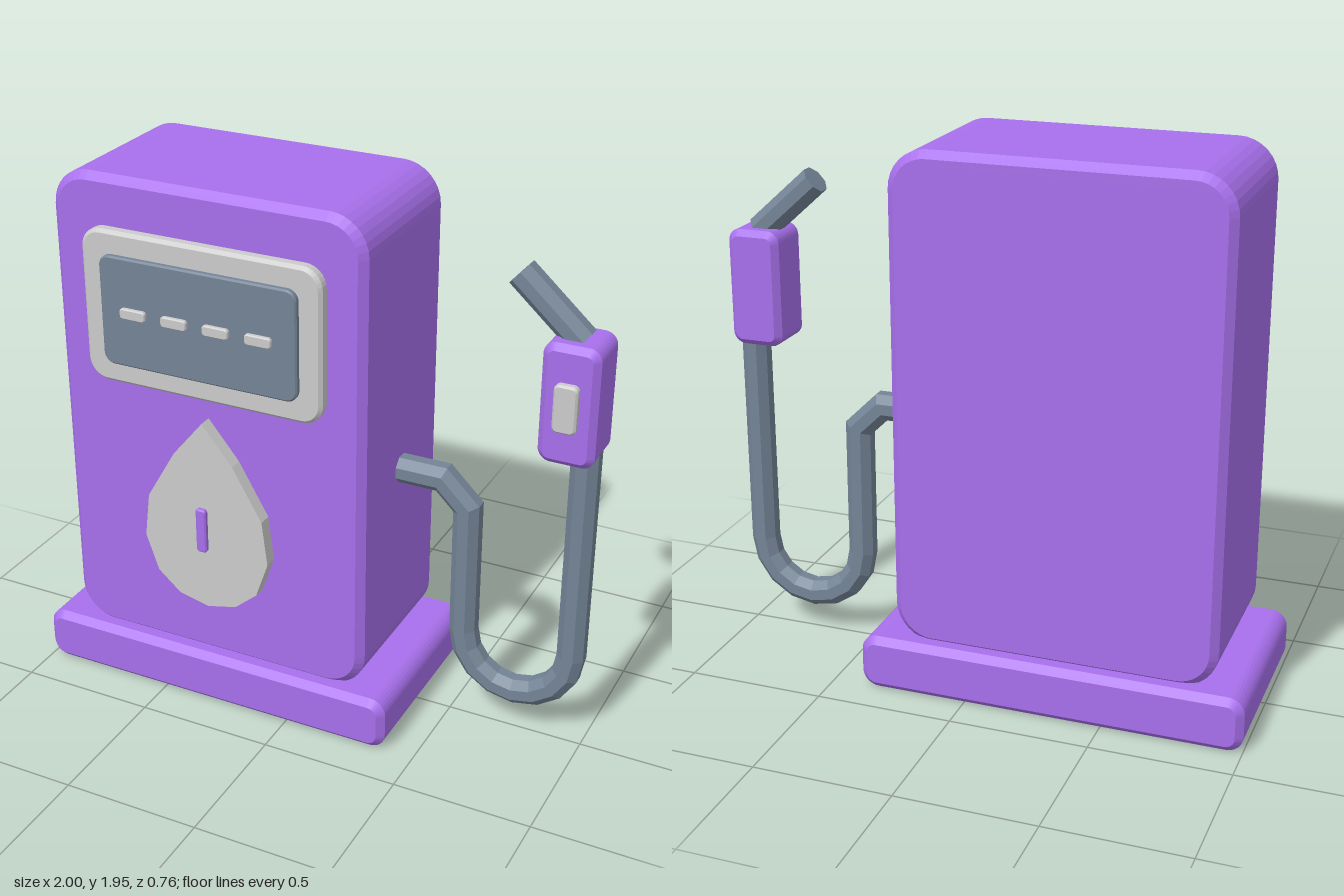
import * as THREE from 'three';

const material = (color) => new THREE.MeshStandardMaterial({ color, flatShading: true });

// Rounded rectangle slab with chamfered front and back edges
function slab(name, [x0, x1], [y0, y1], [z0, z1], radius, bevel, mat) {
  const l = x0 + bevel, r = x1 - bevel, b = y0 + bevel, t = y1 - bevel;
  const c = Math.max(radius - bevel, 0.002);
  const s = new THREE.Shape();
  s.absarc(r - c, b + c, c, -Math.PI / 2, 0);
  s.absarc(r - c, t - c, c, 0, Math.PI / 2);
  s.absarc(l + c, t - c, c, Math.PI / 2, Math.PI);
  s.absarc(l + c, b + c, c, Math.PI, Math.PI * 1.5);
  s.closePath();
  const geo = new THREE.ExtrudeGeometry(s, {
    depth: z1 - z0 - 2 * bevel, curveSegments: 4,
    bevelEnabled: bevel > 0, bevelSize: bevel, bevelThickness: bevel, bevelSegments: 1,
  });
  geo.translate(0, 0, z0 + bevel);
  const mesh = new THREE.Mesh(geo, mat);
  mesh.name = name;
  return mesh;
}

// Eight-sided pipe with mitred joints along a path in the xy plane
function pipe(name, path, radius, z, mat) {
  const sides = 8, pos = [], index = [];
  const pts = path.map(([x, y]) => new THREE.Vector2(x, y));
  pts.forEach((p, i) => {
    const before = p.clone().sub(pts[Math.max(i - 1, 0)]).normalize();
    const after = pts[Math.min(i + 1, pts.length - 1)].clone().sub(p).normalize();
    const dir = before.clone().add(after).normalize();
    const stretch = 1 / Math.max(dir.dot(i ? before : after), 0.5);
    for (let k = 0; k < sides; k++) {
      const a = ((k + 0.5) / sides) * Math.PI * 2;
      const off = Math.cos(a) * radius * stretch;
      pos.push(p.x - dir.y * off, p.y + dir.x * off, z + Math.sin(a) * radius);
    }
  });
  for (let i = 0; i < pts.length - 1; i++) {
    for (let k = 0; k < sides; k++) {
      const a = i * sides + k, b = i * sides + ((k + 1) % sides);
      index.push(a, a + sides, b, b, a + sides, b + sides);
    }
  }
  // End caps
  const last = (pts.length - 1) * sides;
  for (let k = 1; k < sides - 1; k++) {
    index.push(0, k, k + 1, last, last + k + 1, last + k);
  }
  const geo = new THREE.BufferGeometry();
  geo.setAttribute('position', new THREE.Float32BufferAttribute(pos, 3));
  geo.setIndex(index);
  const flat = geo.toNonIndexed();
  flat.computeVertexNormals();
  // Thin-walled safe from both sides
  const m = mat.clone();
  m.side = THREE.DoubleSide;
  const mesh = new THREE.Mesh(flat, m);
  mesh.name = name;
  return mesh;
}

export function createModel() {
  const purple = material(0xa870ec);
  const slate = material(0x748496);
  const grey = material(0xcccccc);
  const model = new THREE.Group();
  model.name = 'fuelPump';

  // Base and cabinet
  model.add(slab('base', [-1, 0.39], [0, 0.2], [-0.38, 0.36], 0.06, 0.025, purple));
  model.add(slab('cabinet', [-0.89, 0.28], [0.18, 1.95], [-0.32, 0.3], 0.14, 0.027, purple));

  // Display with a row of dashes
  model.add(slab('displayFrame', [-0.755, 0.145], [1.22, 1.775], [0.28, 0.34], 0.075, 0.012, grey));
  model.add(slab('displayScreen', [-0.675, 0.065], [1.3, 1.695], [0.3, 0.36], 0.04, 0.006, slate));
  for (let i = 0; i < 4; i++) {
    const x = -0.545 + i * 0.158;
    model.add(slab('displayDash', [x - 0.049, x + 0.049], [1.482, 1.52], [0.355, 0.375], 0.012, 0.004, grey));
  }

  // Drop emblem, mirrored about its centre line
  const cx = -0.305;
  const half = [[0.115, 1.0], [0.225, 0.81], [0.245, 0.645], [0.198, 0.51], [0.113, 0.437]];
  const outline = [
    [0, 1.14], ...half.map(([x, y]) => [-x, y]), [0, 0.41],
    ...half.slice().reverse(),
  ].map(([x, y]) => new THREE.Vector2(cx + x, y));
  const dropGeo = new THREE.ExtrudeGeometry(new THREE.Shape(outline), { depth: 0.06, bevelEnabled: false });
  dropGeo.translate(0, 0, 0.29);
  const drop = new THREE.Mesh(dropGeo, grey);
  drop.name = 'dropEmblem';
  model.add(drop);
  model.add(slab('dropMark', [-0.325, -0.285], [0.65, 0.82], [0.36, 0.382], 0.012, 0.005, purple));

  // Hose: out of the cabinet, down, round the bend and up to the handle
  const path = [[0.22, 0.94], [0.44, 0.94], [0.535, 0.847]];
  for (let i = 0; i <= 8; i++) {
    const a = Math.PI + (i / 8) * Math.PI;
    path.push([0.739 + 0.202 * Math.cos(a), 0.355 + 0.202 * Math.sin(a)]);
  }
  path.push([0.941, 1.2]);
  model.add(pipe('hose', path, 0.052, -0.01, slate));

  // Nozzle
  model.add(slab('nozzleHandle', [0.8, 0.995], [1.14, 1.565], [-0.1, 0.1], 0.045, 0.022, purple));
  model.add(slab('nozzleTrigger', [0.855, 0.937], [1.27, 1.44], [0.09, 0.125], 0.02, 0.007, grey));
  model.add(pipe('nozzleSpout', [[0.905, 1.55], [0.685, 1.747]], 0.053, 0, slate));
  return model;
}
